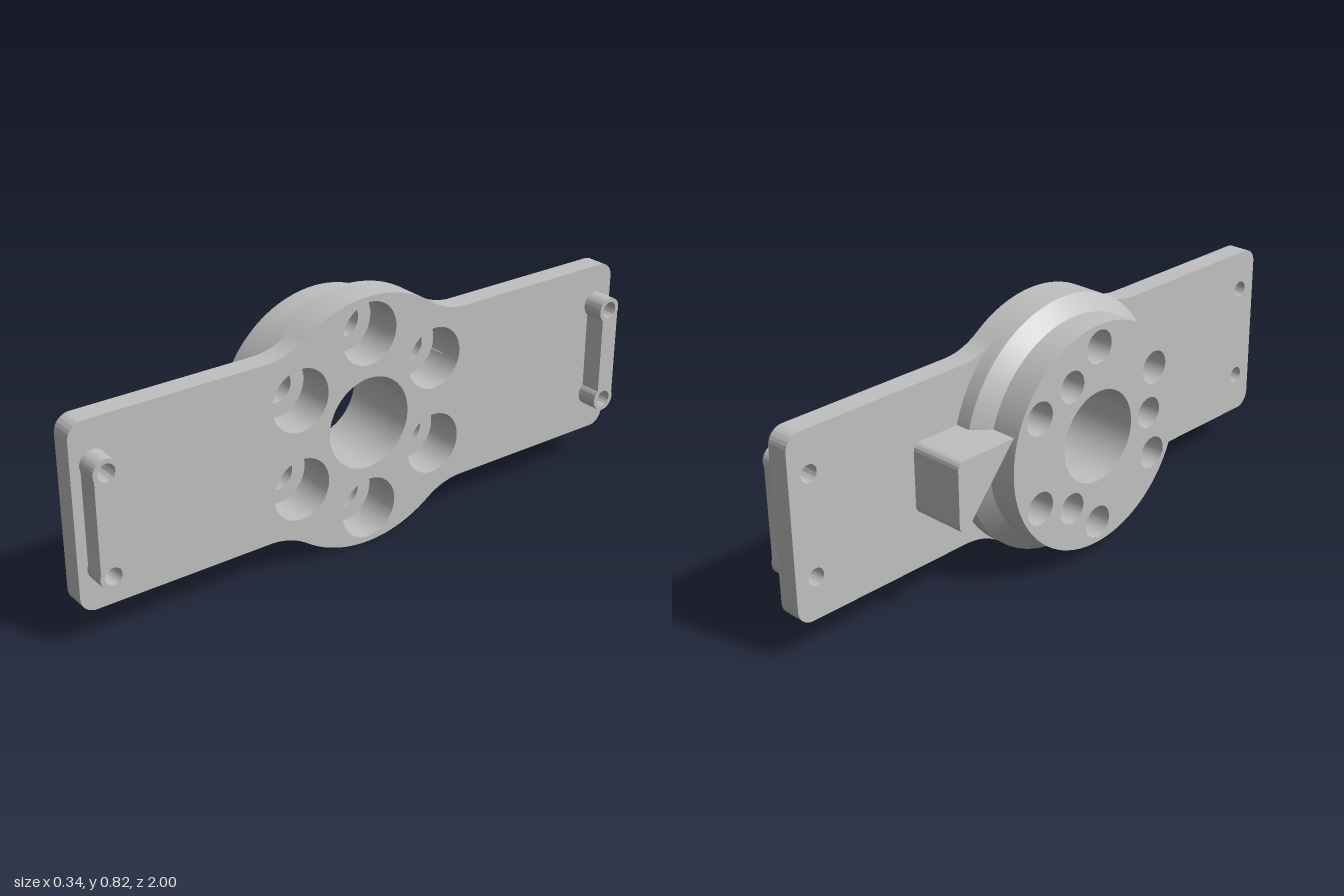
import * as THREE from 'three';
import { mergeGeometries, toCreasedNormals } from 'three/addons/utils/BufferGeometryUtils.js';

const PI = Math.PI;
const CENTRE_Y = 0.408;
const FRONT = 0.097, SEAT = 0.025, BACK = -0.17; // stations along x
const BORE_FLOOR = -0.028;

function circlePath(u, v, r) {
  const p = new THREE.Path();
  p.absarc(u, v, r, 0, PI * 2, false);
  return p;
}

// Extrude a (-z, y) outline along x from x0 to x1
function extrudeX(shape, x0, x1) {
  const g = new THREE.ExtrudeGeometry(shape, { depth: x1 - x0, bevelEnabled: false, curveSegments: 20 });
  g.rotateY(PI / 2);
  g.translate(x0, 0, 0);
  return toCreasedNormals(g, 0.5);
}

// Turn [radius, x] points about the x axis with sharp edges;
// rising x faces outward, falling x faces inward
function turnX(points, z = 0, y = 0, segments = 48) {
  const bands = [];
  for (let i = 0; i < points.length - 1; i++) {
    const pair = [points[i], points[i + 1]].map(([r, x]) => new THREE.Vector2(r, x));
    bands.push(new THREE.LatheGeometry(pair, segments));
  }
  const g = mergeGeometries(bands);
  g.rotateZ(-PI / 2);
  g.translate(0, y, z);
  return g;
}

export function createModel() {
  const group = new THREE.Group();
  const body = new THREE.Group();
  body.name = 'mountingBracket';
  body.position.y = CENTRE_Y;
  group.add(body);

  const grey = new THREE.MeshStandardMaterial({ color: 0xc0c0c0 });
  grey.name = 'grey';
  const add = (name, geometry) => {
    const mesh = new THREE.Mesh(geometry, grey);
    mesh.name = name;
    body.add(mesh);
    return mesh;
  };

  // Hole layouts as [z, y] about the hub axis
  const ring = (n, r, start) => Array.from({ length: n }, (_, i) => {
    const a = start + (i * 2 * PI) / n;
    return [r * Math.cos(a), r * Math.sin(a)];
  });
  const boltHoles = ring(6, 0.29, PI / 6);
  const pinHoles = ring(3, 0.23, 0);
  const railU = 0.93, railV = 0.158, railHole = 0.027;

  // Plate: rounded wings blending into a round middle
  const outline = new THREE.Shape();
  const blend = Math.atan2(0.52, 0.37);
  for (const [s, o] of [[1, 0], [-1, PI]]) {
    outline.absarc(s * 0.95, s * 0.24, 0.05, o, o + PI / 2, false);
    outline.absarc(s * 0.37, s * 0.52, 0.23, o - PI / 2, o + blend - PI, true);
    outline.absarc(0, 0, 0.408, o + blend, o + PI - blend, false);
    outline.absarc(s * -0.37, s * 0.52, 0.23, o - blend, o - PI / 2, true);
    outline.absarc(s * -0.95, s * 0.24, 0.05, o + PI / 2, o + PI, false);
  }
  outline.closePath();
  outline.holes.push(circlePath(0, 0, 0.148));
  for (const [z, y] of boltHoles) outline.holes.push(circlePath(z, y, 0.1));
  for (const u of [-railU, railU]) {
    for (const v of [-railV, railV]) outline.holes.push(circlePath(u, v, railHole));
  }
  add('plate', extrudeX(outline, SEAT, FRONT));

  // Hub: stepped drum behind the plate
  add('hubSide', turnX([[0.36, BACK], [0.36, -0.073], [0.408, -0.025], [0.408, SEAT]], 0, 0, 96));

  // Hub back face with all of its holes
  const disc = new THREE.Shape();
  disc.absarc(0, 0, 0.36, 0, PI * 2, false);
  disc.holes.push(circlePath(0, 0, 0.148));
  for (const [z, y] of boltHoles) disc.holes.push(circlePath(z, y, 0.053));
  for (const [z, y] of pinHoles) disc.holes.push(circlePath(z, y, 0.05));
  const backFace = new THREE.ShapeGeometry(disc, 48);
  backFace.rotateY(-PI / 2);
  backFace.translate(BACK, 0, 0);
  add('hubBackFace', backFace);

  // Hole walls: centre bore, counterbored bolt holes, blind pin holes
  add('centreBore', turnX([[0.148, SEAT], [0.148, BACK]]));
  for (const [z, y] of boltHoles) {
    add('boltHole', turnX([[0.1, SEAT], [0.1, BORE_FLOOR], [0.053, BORE_FLOOR], [0.053, BACK]], z, y));
  }
  for (const [z, y] of pinHoles) {
    add('pinHole', turnX([[0, -0.06], [0.05, -0.06], [0.05, BACK]], z, y));
  }

  // Side lug with rounded outer edges
  const lug = new THREE.Shape();
  const h = 0.112, r = 0.025;
  lug.moveTo(0.342, -h);
  lug.absarc(0.56 - r, -h + r, r, -PI / 2, 0, false);
  lug.absarc(0.56 - r, h - r, r, 0, PI / 2, false);
  lug.lineTo(0.342, h);
  lug.closePath();
  add('sideLug', extrudeX(lug, -0.155, SEAT));

  // End rails: a bar joining two drilled bosses
  const boss = 0.041, inner = 0.026, outer = 0.038;
  const aOut = Math.acos(outer / boss), aIn = PI - Math.acos(inner / boss);
  const rail = new THREE.Shape();
  rail.absarc(railU, railV, boss, -aOut, 2 * PI - aIn, false);
  rail.absarc(railU, -railV, boss, aIn, 2 * PI + aOut, false);
  rail.closePath();
  for (const v of [-railV, railV]) rail.holes.push(circlePath(railU, v, railHole));
  const railGeometry = extrudeX(rail, FRONT, 0.168);
  add('backRail', railGeometry);
  add('frontRail', railGeometry).rotation.x = PI;

  return group;
}
